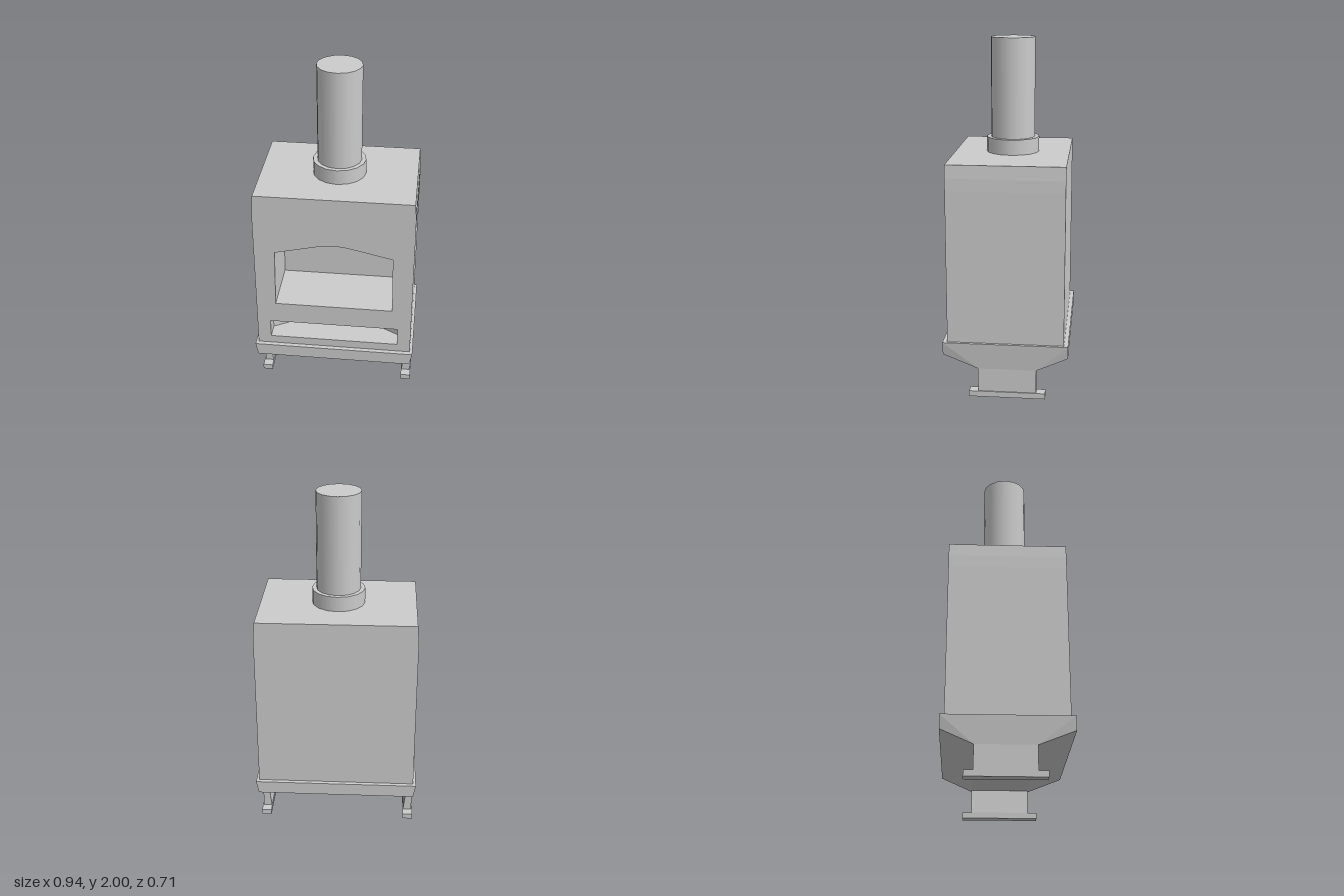
import * as THREE from 'three';
import { ConvexGeometry } from 'three/addons/geometries/ConvexGeometry.js';

const material = new THREE.MeshStandardMaterial({ color: 0xcccccc });

function add(group, name, geometry, x = 0, y = 0, z = 0) {
  const mesh = new THREE.Mesh(geometry, material);
  mesh.name = name;
  mesh.position.set(x, y, z);
  group.add(mesh);
  return mesh;
}

const points = (list) => list.map(([x, y]) => new THREE.Vector2(x, y));

// Extrudes a shape along z between two depths
function slab(shape, z0, z1) {
  return new THREE.ExtrudeGeometry(shape, { depth: z1 - z0, bevelEnabled: false, curveSegments: 10 })
    .translate(0, 0, z0);
}

// Front silhouette of the body, leaning in slightly at the top
function bodyShape() {
  const right = [[0.456, 0.325], [0.456, 1.2], [0.454, 1.27], [0.448, 1.345]];
  const left = right.map(([x, y]) => [-x, y]).reverse();
  return new THREE.Shape(points([...right, ...left]));
}

export function createModel() {
  const stove = new THREE.Group();
  stove.name = 'stove';

  // Body: solid rear half, front half pierced by the two openings
  const BACK = -0.33, MID = -0.01, FRONT = 0.33;
  add(stove, 'bodyRear', slab(bodyShape(), BACK, MID));

  const front = bodyShape();
  const door = new THREE.Path();
  door.moveTo(-0.342, 0.62);
  door.lineTo(-0.336, 0.98);
  door.lineTo(-0.09, 1.037);
  door.quadraticCurveTo(0, 1.055, 0.09, 1.037);
  door.lineTo(0.336, 0.98);
  door.lineTo(0.342, 0.62);
  door.closePath();
  const slot = new THREE.Path(points([[-0.378, 0.375], [-0.378, 0.488], [0.378, 0.488], [0.378, 0.375]]));
  front.holes.push(door, slot);
  add(stove, 'bodyFront', slab(front, MID, FRONT));

  // Curved back wall of the ash slot, drawn in plan (x, -z) and raised upward
  const plan = new THREE.Shape();
  plan.moveTo(-0.378, -MID);
  plan.lineTo(-0.378, -0.24);
  plan.quadraticCurveTo(0, 0, 0.378, -0.24);
  plan.lineTo(0.378, -MID);
  plan.closePath();
  add(stove, 'ashSlotBack', slab(plan, 0, 0.113).rotateX(-Math.PI / 2), 0, 0.375, 0);

  // Base tray: flared rim above, sloping to a narrow underside
  const corners = [];
  for (const [x, y, zFront, zBack] of [
    [0.472, 0.325, 0.356, -0.354],
    [0.457, 0.25, 0.356, -0.354],
    [0.457, 0.17, 0.155, -0.176],
  ]) {
    for (const side of [-1, 1]) {
      corners.push(new THREE.Vector3(side * x, y, zFront), new THREE.Vector3(side * x, y, zBack));
    }
  }
  add(stove, 'base', new ConvexGeometry(corners));

  // Legs and feet, mirrored left and right
  for (const [name, s] of [['left', 1], ['right', -1]]) {
    const leg = new THREE.Shape(points([[s * 0.457, 0.03], [s * 0.457, 0.172], [s * 0.422, 0.172], [s * 0.407, 0.03]]));
    add(stove, name + 'Leg', slab(leg, -0.176, 0.155));
    add(stove, name + 'Foot', new THREE.BoxGeometry(0.058, 0.033, 0.434), s * 0.434, 0.0165, -0.01);
  }

  // Flue collar and pipe
  add(stove, 'flueCollar', new THREE.CylinderGeometry(0.152, 0.152, 0.088, 16), 0, 1.388, 0);
  add(stove, 'fluePipe', new THREE.CylinderGeometry(0.127, 0.127, 0.66, 16), 0, 1.67, 0);

  return stove;
}
